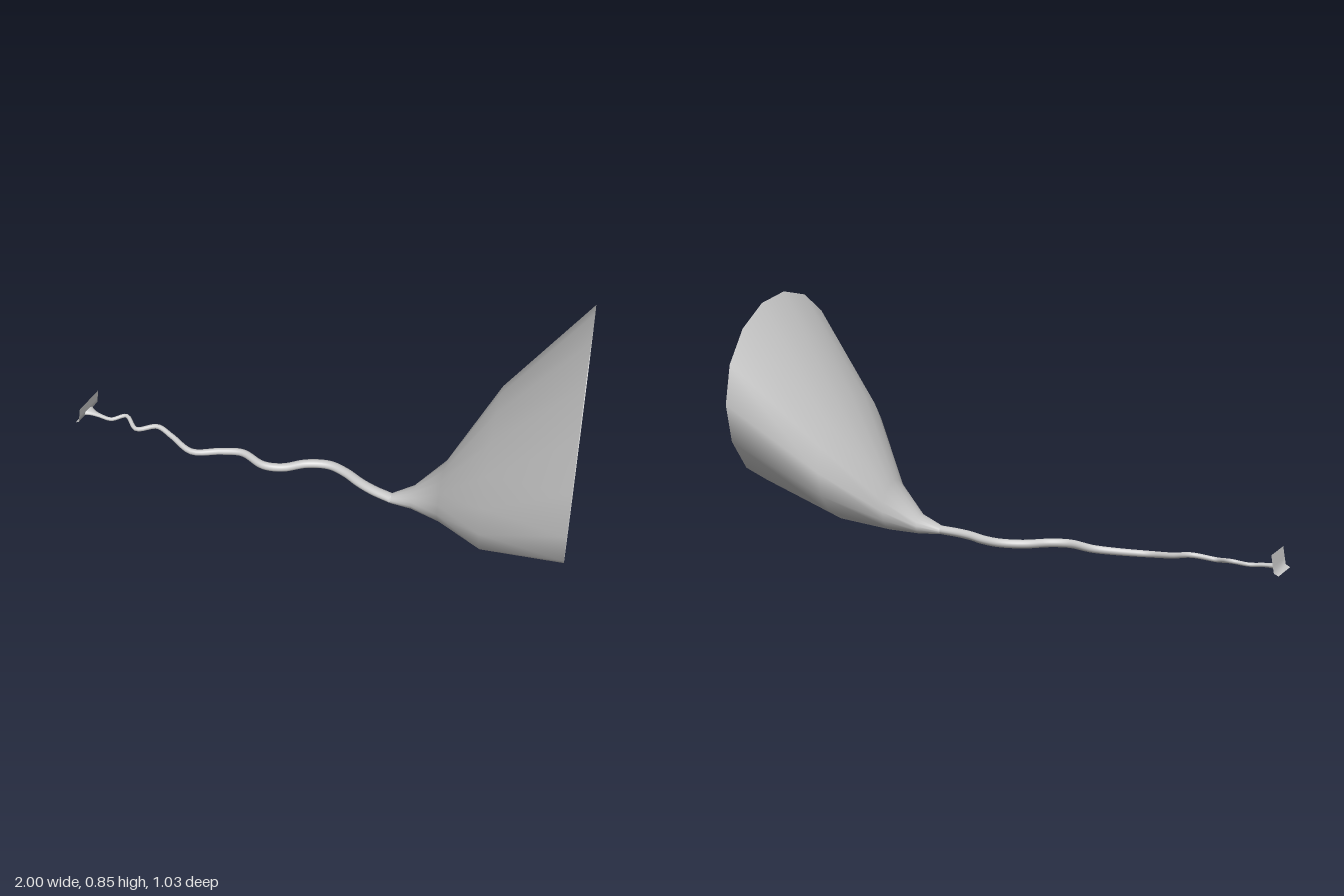
import * as THREE from 'three';

const SIDES = 16;
const material = new THREE.MeshStandardMaterial({ color: 0xcccccc, side: THREE.DoubleSide });

// Smooth skin over a list of rings, each ring being SIDES points
function loft(rings) {
  const positions = rings.flat().flatMap((p) => [p.x, p.y, p.z]);
  const index = [];
  for (let r = 0; r < rings.length - 1; r++) {
    for (let s = 0; s < SIDES; s++) {
      const t = (s + 1) % SIDES;
      const a = r * SIDES + s, b = r * SIDES + t;
      const c = a + SIDES, d = b + SIDES;
      index.push(a, b, d, a, d, c);
    }
  }
  const geometry = new THREE.BufferGeometry();
  geometry.setAttribute('position', new THREE.Float32BufferAttribute(positions, 3));
  geometry.setIndex(index);
  geometry.computeVertexNormals();
  return geometry;
}

// Upright elliptical ring; skew is how far x moves per unit of z
function ring(x, y, z, ry, rz, skew) {
  return Array.from({ length: SIDES }, (_, s) => {
    const a = (s / SIDES) * Math.PI * 2;
    const dz = Math.sin(a) * rz;
    return new THREE.Vector3(x + dz * skew, y + Math.cos(a) * ry, z + dz);
  });
}

function addMesh(group, name, geometry) {
  const mesh = new THREE.Mesh(geometry, material);
  mesh.name = name;
  group.add(mesh);
}

export function createModel() {
  const group = new THREE.Group();
  group.name = 'funnelWithStem';

  // Funnel: the throat opens into a wide, skewed mouth
  const funnelRings = [
    [0.255, 0.026, 0.022, 0.015, 0.022, 0.2],
    [0.33, 0.045, 0.006, 0.035, 0.05, 0.2],
    [0.435, 0.105, 0, 0.087, 0.128, 0.21],
    [0.605, 0.27, 0, 0.22, 0.345, 0.215],
    [0.89, 0.513, 0, 0.343, 0.516, 0.21],
  ];
  addMesh(group, 'funnel', loft(funnelRings.map((r) => ring(...r))));

  // Stem: a wavy tube that thins towards its far end
  const path = new THREE.CatmullRomCurve3([
    [-0.98, 0.034, 0.02], [-0.93, 0.031, 0.025], [-0.88, 0.027, 0.023],
    [-0.83, 0.039, -0.005], [-0.765, 0.027, 0.038], [-0.69, 0.041, 0.008],
    [-0.62, 0.028, 0.025], [-0.52, 0.014, 0.06], [-0.42, 0.02, 0.022],
    [-0.34, 0.025, 0.003], [-0.24, 0.025, 0.037], [-0.17, 0.024, 0.02],
    [-0.1, 0.024, -0.035], [-0.02, 0.025, -0.06], [0.05, 0.025, -0.045],
    [0.12, 0.026, -0.012], [0.18, 0.026, 0.008], [0.255, 0.026, 0.022],
  ].map((p) => new THREE.Vector3(...p)));
  const stemRings = [];
  const steps = 90;
  for (let i = 0; i <= steps; i++) {
    const p = path.getPoint(i / steps);
    const t = path.getTangent(i / steps);
    const radius = THREE.MathUtils.mapLinear(p.x, -0.95, 0.255, 0.006, 0.021);
    const flare = Math.exp(-(p.x + 0.98) / 0.025);
    const ry = Math.min(radius, 0.015) + 0.006 * flare;
    const side = new THREE.Vector3(-t.z, 0, t.x).normalize();
    const up = new THREE.Vector3().crossVectors(side, t).normalize();
    stemRings.push(Array.from({ length: SIDES }, (_, s) => {
      const a = (s / SIDES) * Math.PI * 2;
      return p.clone()
        .addScaledVector(up, Math.cos(a) * ry)
        .addScaledVector(side, Math.sin(a) * (radius + 0.02 * flare));
    }));
  }
  addMesh(group, 'stem', loft(stemRings));

  // End plate: a thin bent sheet across the end of the stem
  const profile = [[-0.975, 0.085], [-0.981, 0.048], [-0.985, 0.026], [-1, 0.018]];
  const plate = new THREE.PlaneGeometry(1, 1, 1, profile.length - 1);
  const pos = plate.attributes.position;
  for (let i = 0; i < pos.count; i++) {
    const [x, y] = profile[Math.floor(i / 2)];
    pos.setXYZ(i, x, y, i % 2 ? 0.085 : -0.05);
  }
  plate.computeVertexNormals();
  addMesh(group, 'endPlate', plate);

  return group;
}
